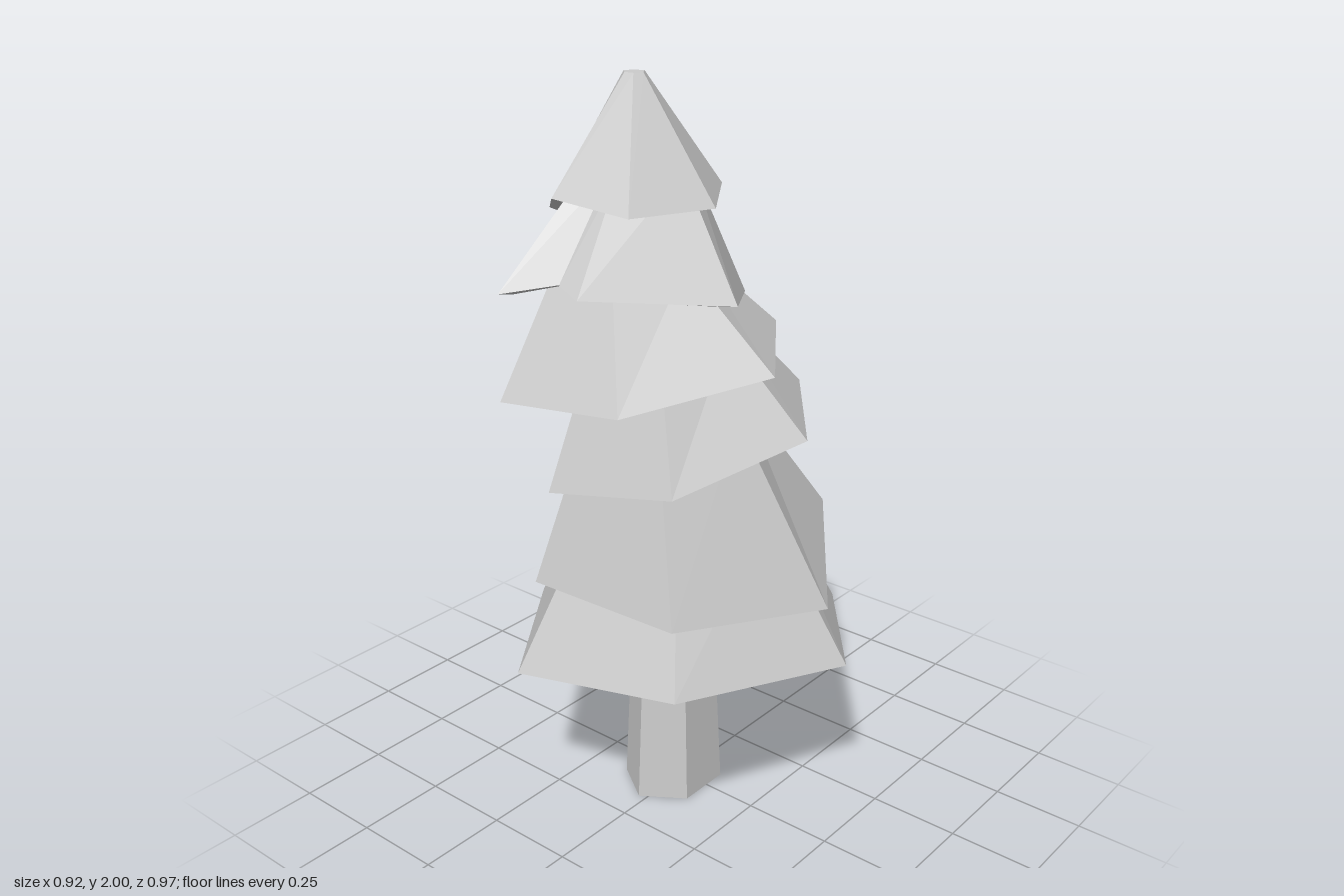
import * as THREE from 'three';

// Each tier: lower rim corners [x, y, z], going from the front round by +x,
// and the top ring as centre [x, y, z] plus radius.
const TIERS = [
  { name: 'bottomBranches', top: [0, 0.89, 0], r: 0.26, rim: [
    [0.09, 0.5, 0.485], [0.46, 0.46, 0.19], [0.4, 0.38, -0.295],
    [-0.05, 0.46, -0.485], [-0.44, 0.46, -0.2], [-0.385, 0.535, 0.295]] },
  { name: 'secondBranches', top: [-0.045, 1.17, 0], r: 0.203, rim: [
    [0.06, 0.665, 0.44], [0.405, 0.78, 0.18], [0.36, 0.82, -0.03], [0.345, 0.755, -0.275],
    [-0.04, 0.695, -0.41], [-0.38, 0.715, -0.18], [-0.33, 0.69, 0.24]] },
  { name: 'thirdBranches', top: [-0.055, 1.38, -0.016], r: 0.197, rim: [
    [0.035, 1.125, 0.375], [0.4, 1.12, 0.09], [0.355, 1.025, -0.305],
    [-0.05, 0.96, -0.365], [-0.37, 0.98, -0.13], [-0.28, 1.02, 0.2]] },
  { name: 'fourthBranches', top: [-0.14, 1.56, -0.07], r: 0.178, rim: [
    [-0.06, 1.31, 0.34], [0.27, 1.325, 0.1], [0.24, 1.27, -0.295],
    [-0.175, 1.24, -0.4], [-0.46, 1.235, -0.195], [-0.405, 1.255, 0.14]] },
  { name: 'fifthBranches', top: [-0.118, 1.78, -0.056], r: 0.126, rim: [
    [-0.1, 1.48, 0.255], [0.205, 1.41, 0.045], [0.105, 1.475, -0.255],
    [-0.115, 1.48, -0.38], [-0.46, 1.51, -0.185], [-0.385, 1.54, -0.055], [-0.405, 1.52, 0.02]] },
  { name: 'treeTop', top: [-0.11, 2, -0.055], r: 0.027, rim: [
    [-0.08, 1.7, 0.17], [0.115, 1.71, 0.035], [0.07, 1.675, -0.185],
    [-0.14, 1.64, -0.32], [-0.315, 1.72, -0.14], [-0.29, 1.7, 0.08]] },
];

// Joins rings of equal count into a flat-faceted skin, closed at both ends
function skin(rings) {
  const pos = [];
  const tri = (...pts) => pts.forEach(p => pos.push(p.x, p.y, p.z));
  const middle = ring => ring.reduce((s, p) => s.add(p), new THREE.Vector3()).divideScalar(ring.length);
  const n = rings[0].length, first = rings[0], last = rings[rings.length - 1];
  const start = middle(first), end = middle(last);
  for (let i = 0; i < n; i++) {
    const j = (i + 1) % n;
    for (let k = 0; k < rings.length - 1; k++) {
      const a = rings[k], b = rings[k + 1];
      tri(a[i], a[j], b[j]);
      tri(a[i], b[j], b[i]);
    }
    tri(start, first[j], first[i]);
    tri(end, last[i], last[j]);
  }
  const geo = new THREE.BufferGeometry();
  geo.setAttribute('position', new THREE.Float32BufferAttribute(pos, 3));
  geo.computeVertexNormals();
  return geo;
}

// Hollow skirt: inner roof, inner wall, thick rim, outer slope, flat top
function tierGeometry({ rim, top, r }) {
  const outer = rim.map(p => new THREE.Vector3(...p));
  const mid = outer.reduce((s, p) => s.add(p), new THREE.Vector3()).divideScalar(outer.length);
  const flat = outer.map(p => new THREE.Vector3(p.x - mid.x, 0, p.z - mid.z));
  const mean = flat.reduce((s, p) => s + p.length(), 0) / flat.length;
  const peak = new THREE.Vector3(...top);
  const upper = flat.map(p => p.clone().multiplyScalar(r / mean).add(peak));
  const innerRim = outer.map(p => p.clone().lerp(mid, 0.12).setY(p.y - 0.006));
  const innerTop = innerRim.map((p, i) => p.clone().lerp(upper[i].clone().lerp(peak, 0.2), 0.5));
  return skin([innerTop, innerRim, outer, upper]);
}

export function createModel() {
  const tree = new THREE.Group();
  tree.name = 'pineTree';
  const material = new THREE.MeshStandardMaterial({ color: 0xcccccc, flatShading: true });

  // Six-sided tapering trunk
  const trunk = new THREE.Mesh(new THREE.CylinderGeometry(0.115, 0.152, 0.72, 6), material);
  trunk.name = 'trunk';
  trunk.rotation.y = Math.PI / 2;
  trunk.scale.x = 0.86;
  trunk.position.set(-0.012, 0.36, -0.022);
  tree.add(trunk);

  // Stacked, tilted tiers of branches
  for (const tier of TIERS) {
    const mesh = new THREE.Mesh(tierGeometry(tier), material);
    mesh.name = tier.name;
    tree.add(mesh);
  }
  return tree;
}
